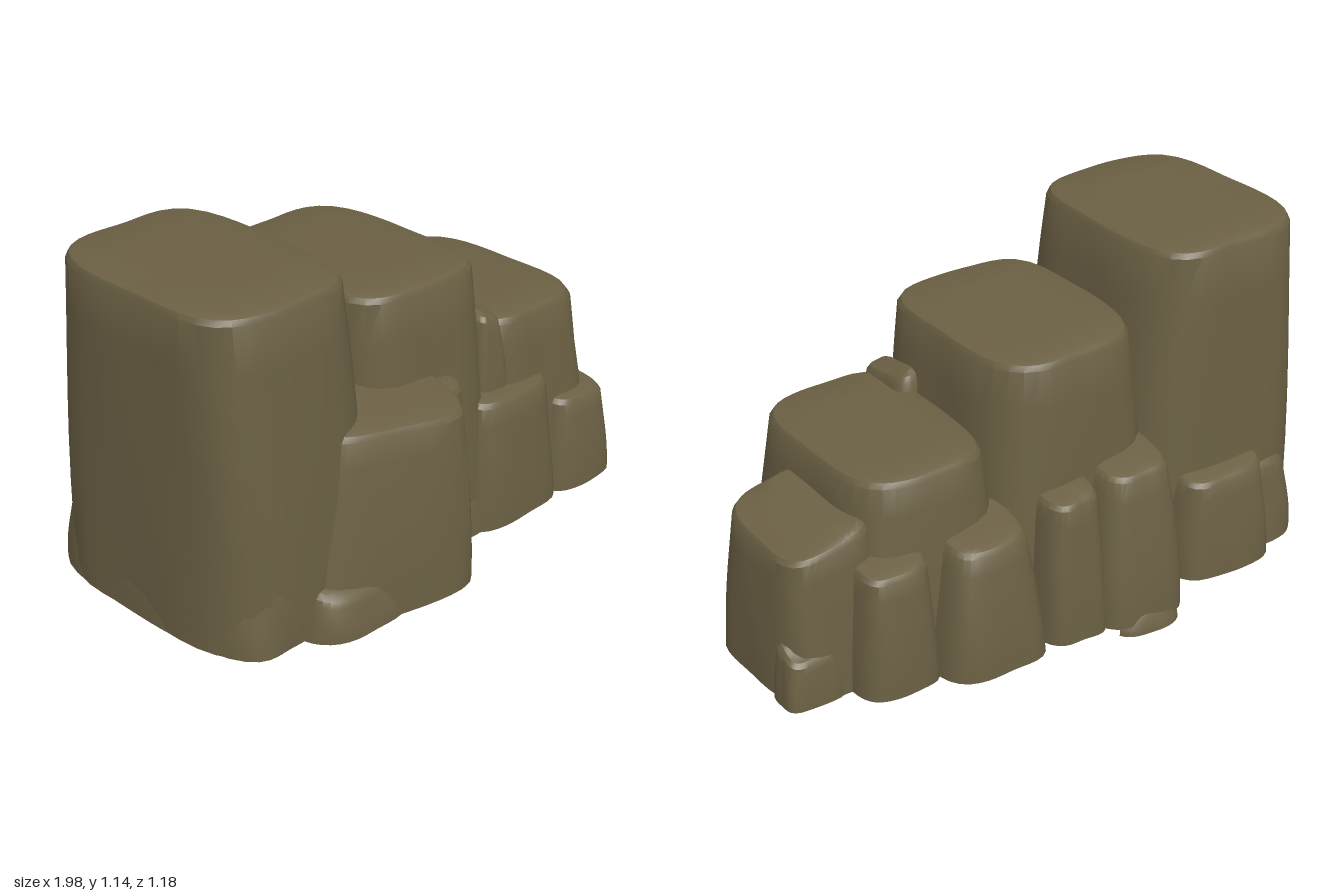
import * as THREE from 'three';
import { toCreasedNormals } from 'three/addons/utils/BufferGeometryUtils.js';

const SEG = 48;
const BEVEL = 0.025;

// A rock from its base extents and top height. The top is the base inset by
// taper and shifted by lean in x; it rises gently towards the middle in z.
function rock(name, x0, x1, z0, z1, y1, options) {
  const r = { name, y0: 0.03, y1, taper: 0.035, lean: 0, p: 4, yaw: 0, tilt: -0.008, ...options };
  r.cx = (x0 + x1) / 2;
  r.cz = (z0 + z1) / 2;
  r.hx = (x1 - x0) / 2;
  r.hz = (z1 - z0) / 2;
  r.rise = -0.08 * r.cz;
  return r;
}

const columns = [
  rock('tallColumn', -0.98, -0.3, -0.41, 0.47, 1.135, { y0: 0.05, taper: 0.05, lean: -0.05 }),
  rock('secondColumn', -0.37, 0.29, -0.45, 0.39, 0.945, { taper: 0.06 }),
  rock('thirdColumn', 0.18, 0.77, -0.43, 0.38, 0.69, { taper: 0.06 }),
  rock('endColumn', 0.62, 0.99, -0.38, 0.13, 0.54, { tilt: -0.035 }),
];

const frontBoulders = [
  rock('frontButtress', -0.64, -0.01, 0.06, 0.56, 0.665, { taper: 0.05, lean: 0.03, p: 5, yaw: -0.22, tilt: -0.02 }),
  rock('frontSliver', -0.2, 0.04, 0.1, 0.44, 0.65, { taper: 0.01 }),
  rock('frontFoot', -0.7, -0.3, 0.2, 0.56, 0.2, { p: 3 }),
  rock('frontBoulder', 0.09, 0.52, 0.02, 0.43, 0.485),
  rock('frontBoulderLow', 0.47, 0.78, 0.06, 0.43, 0.365),
  rock('frontShard', 0.18, 0.34, 0.05, 0.34, 0.74, { y0: 0.4 }),
  rock('frontPebble', 0.02, 0.16, 0.22, 0.4, 0.19, { taper: 0.02 }),
];

const sideBoulders = [
  rock('sideFoot', -0.98, -0.56, -0.45, 0.48, 0.34, { y0: 0.05, p: 3 }),
  rock('endFoot', 0.8, 1, -0.39, -0.24, 0.22, { taper: 0.02 }),
  rock('endPebble', 0.74, 0.92, 0.02, 0.18, 0.22, { taper: 0.02 }),
];

const backBoulders = [
  rock('backBoulderLarge', -0.37, -0.02, -0.58, -0.12, 0.57, { taper: 0.06 }),
  rock('backBoulderMiddle', -0.08, 0.17, -0.55, -0.12, 0.54),
  rock('backBoulderRight', 0.15, 0.53, -0.565, -0.12, 0.48, { taper: 0.06 }),
  rock('backBoulderEnd', 0.5, 0.79, -0.49, -0.12, 0.46),
  rock('backBoulderLeft', -0.79, -0.41, -0.495, -0.12, 0.4),
  rock('backFoot', -0.33, -0.07, -0.6, -0.32, 0.12, { y0: 0, p: 3 }),
];

const rocks = [...columns, ...frontBoulders, ...sideBoulders, ...backBoulders];

// Centre and half sizes of a rock at height fraction t
function section(r, t) {
  const f = Math.pow(THREE.MathUtils.clamp(t, 0, 1), 1.5);
  return { cx: r.cx + r.lean * f, cz: r.cz, hx: r.hx - r.taper * f, hz: r.hz - r.taper * f };
}

function turn(x, z, a) {
  return [x * Math.cos(a) + z * Math.sin(a), z * Math.cos(a) - x * Math.sin(a)];
}

// True when a point lies well within a rock
function inside(r, x, y, z) {
  let t = (y - r.y0) / (r.y1 - r.y0), u = 0, w = 0;
  if (t < -0.25) return false;
  for (let i = 0; i < 2; i++) {
    const s = section(r, t);
    const [lx, lz] = turn(x - s.cx, z - s.cz, -r.yaw);
    u = lx / s.hx;
    w = lz / s.hz;
    t = (y - r.y0) / (r.y1 - r.y0 + r.tilt * u + r.rise * w);
  }
  return t < 0.95 && Math.abs(u) ** r.p + Math.abs(w) ** r.p < 0.95 ** r.p;
}

// Rows of [height fraction, inset, scale]: the wall, the bevel, the top
function profile(r) {
  const edge = 1 - BEVEL / (r.y1 - r.y0);
  const rows = [];
  for (let j = 0; j <= 7; j++) rows.push([(edge * j) / 7, 0, 1]);
  rows.push([(edge + 2) / 3, BEVEL / 3, 1]);
  for (const scale of [1, 0.6, 0]) rows.push([1, BEVEL, scale]);
  return rows;
}

// Open-bottomed tapered rock; faces buried in another rock are left out
function rockGeometry(r, seed) {
  const rows = profile(r);
  const pos = [], index = [], buried = [];
  const others = rocks.filter((o) => o !== r);
  for (const [t, inset, scale] of rows) {
    const s = section(r, t);
    for (let i = 0; i < SEG; i++) {
      const a = (i / SEG) * Math.PI * 2, c = Math.cos(a), n = Math.sin(a);
      const lump = 0.988 + 0.012 * Math.sin(3 * a + seed * 1.7 + 2 * t) + 0.008 * Math.sin(7 * a + seed - 5 * t);
      const k = Math.pow(Math.abs(c) ** r.p + Math.abs(n) ** r.p, -1 / r.p) * lump * scale;
      const u = c * k, w = n * k;
      const [dx, dz] = turn(u * (s.hx - inset), w * (s.hz - inset), r.yaw);
      const point = [s.cx + dx, r.y0 + t * (r.y1 - r.y0 + r.tilt * u + r.rise * w), s.cz + dz];
      pos.push(...point);
      buried.push(others.filter((o) => inside(o, ...point)));
    }
  }
  const add = (a, b, c) => {
    const hidden = buried[a].some((o) => buried[b].includes(o) && buried[c].includes(o));
    if (!hidden) index.push(a, b, c);
  };
  for (let j = 0; j < rows.length - 1; j++) {
    for (let i = 0; i < SEG; i++) {
      const a = j * SEG + i, b = j * SEG + (i + 1) % SEG;
      add(a, a + SEG, b);
      if (rows[j + 1][2] > 0) add(b, a + SEG, b + SEG);
    }
  }
  const geo = new THREE.BufferGeometry();
  geo.setAttribute('position', new THREE.Float32BufferAttribute(pos, 3));
  geo.setIndex(index);
  return toCreasedNormals(geo, 0.5);
}

export function createModel() {
  const group = new THREE.Group();
  group.name = 'rockFormation';
  const stone = new THREE.MeshStandardMaterial({ color: 0x6b6044, side: THREE.DoubleSide });
  stone.name = 'brownStone';
  rocks.forEach((r, i) => {
    const mesh = new THREE.Mesh(rockGeometry(r, i + 1), stone);
    mesh.name = r.name;
    group.add(mesh);
  });
  return group;
}
